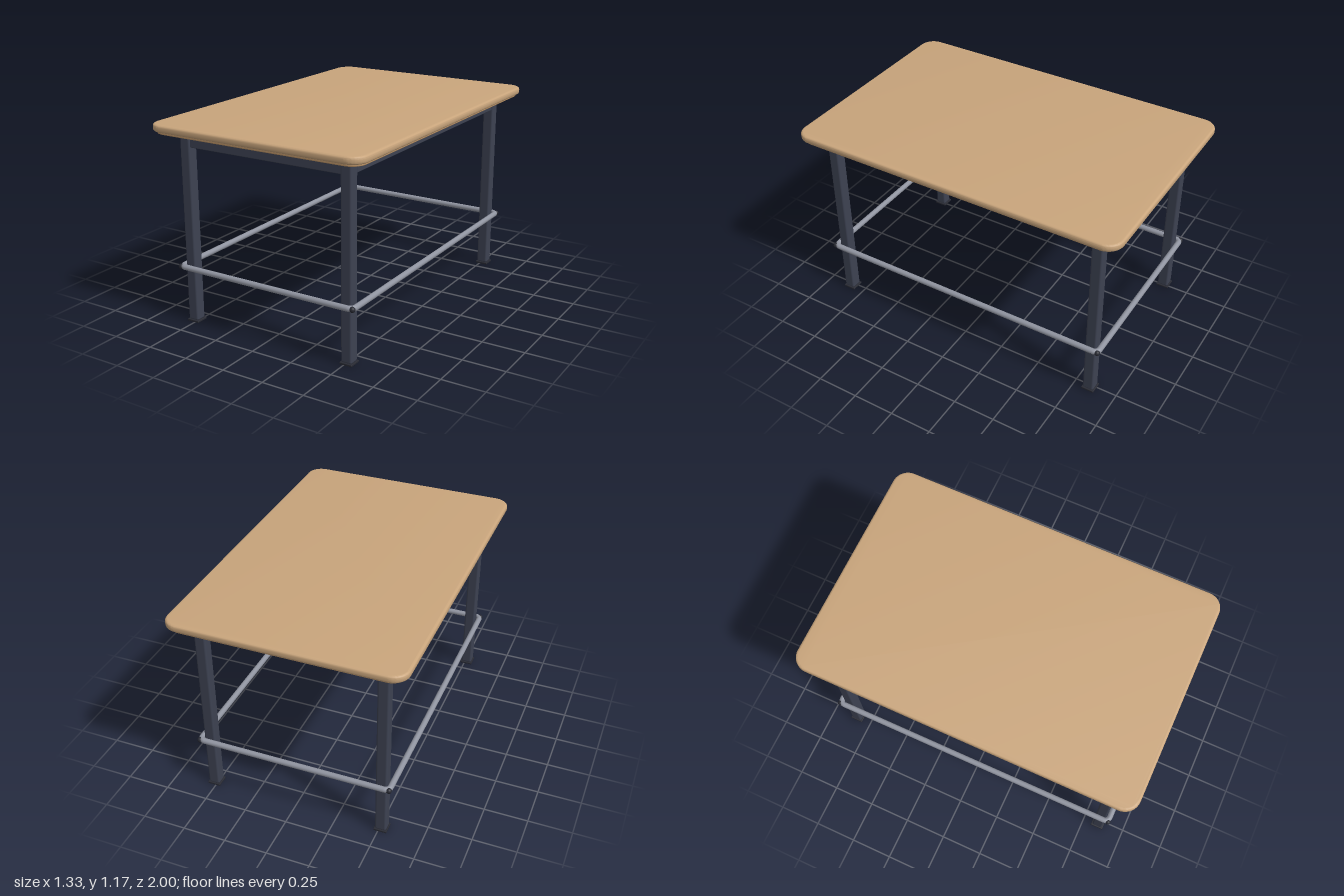
import * as THREE from 'three';
import { toCreasedNormals } from 'three/addons/utils/BufferGeometryUtils.js';
import { RoundedBoxGeometry } from 'three/addons/geometries/RoundedBoxGeometry.js';

const material = (name, color) => Object.assign(new THREE.MeshStandardMaterial({ color }), { name });

// Horizontal slab with rounded corners and softened edges, from y0 to y1.
function slab(halfX, halfZ, radius, y0, y1, bevel) {
  const x = halfX - bevel, z = halfZ - bevel, r = radius - bevel;
  const s = new THREE.Shape();
  s.absarc(x - r, z - r, r, 0, Math.PI / 2);
  s.absarc(-x + r, z - r, r, Math.PI / 2, Math.PI);
  s.absarc(-x + r, -z + r, r, Math.PI, Math.PI * 1.5);
  s.absarc(x - r, -z + r, r, Math.PI * 1.5, Math.PI * 2);
  const g = new THREE.ExtrudeGeometry(s, {
    depth: y1 - y0 - 2 * bevel, curveSegments: 10,
    bevelEnabled: true, bevelSize: bevel, bevelThickness: bevel, bevelSegments: 4,
  });
  g.rotateX(-Math.PI / 2).translate(0, y0 + bevel, 0);
  return toCreasedNormals(g, 0.5);
}

export function createModel() {
  const wood = material('oak', 0xc9a57c);
  const woodEdge = material('darkOak', 0xbc9468);
  const frame = material('slateFrame', 0x3d4252);
  const steel = material('greySteel', 0x9094a0);
  const dark = material('darkFittings', 0x282a33);

  const table = new THREE.Group();
  table.name = 'table';
  const add = (name, geometry, mat, x = 0, y = 0, z = 0) => {
    const mesh = new THREE.Mesh(geometry, mat);
    mesh.name = name;
    mesh.position.set(x, y, z);
    table.add(mesh);
    return mesh;
  };

  // Tabletop and the thinner board below it
  add('tabletop', slab(0.665, 1, 0.09, 1.125, 1.167, 0.014), wood);
  add('underBoard', slab(0.646, 0.98, 0.08, 1.112, 1.126, 0.003), woodEdge);

  const legX = 0.512, legZ = 0.842;
  const railX = 0.563, railZ = 0.893, railY = 0.335, railR = 0.0165, bend = 0.03;
  const legGeo = new RoundedBoxGeometry(0.065, 1.1, 0.065, 3, 0.011);
  const footGeo = new RoundedBoxGeometry(0.076, 0.012, 0.076, 2, 0.003);
  const bendGeo = new THREE.TorusGeometry(bend, railR, 14, 10, Math.PI / 2).rotateX(Math.PI / 2);
  const boltGeo = new THREE.SphereGeometry(0.016, 18, 12);

  // Legs, feet and foot-rail corners
  for (const sx of [-1, 1]) {
    for (const sz of [-1, 1]) {
      add('leg', legGeo, frame, sx * legX, 0.56, sz * legZ);
      add('foot', footGeo, dark, sx * legX, 0.006, sz * legZ);
      const corner = add('railBend', bendGeo, steel, sx * (railX - bend), railY, sz * (railZ - bend));
      corner.rotation.y = sx > 0 ? (sz > 0 ? 0 : Math.PI / 2) : (sz > 0 ? -Math.PI / 2 : Math.PI);
      add('railBolt', boltGeo, dark, sx * railX, railY, sz * railZ);
    }
  }

  // Aprons between the legs and straight foot rails around them
  const apronX = new RoundedBoxGeometry(2 * legX, 0.083, 0.045, 2, 0.005);
  const apronZ = new RoundedBoxGeometry(0.045, 0.083, 2 * legZ, 2, 0.005);
  const rail = (length) => new THREE.CylinderGeometry(railR, railR, length, 14, 1, true);
  const crossRail = rail(2 * (railX - bend)).rotateZ(Math.PI / 2);
  const sideRail = rail(2 * (railZ - bend)).rotateX(Math.PI / 2);
  for (const s of [-1, 1]) {
    add('endApron', apronX, frame, 0, 1.07, s * legZ);
    add('sideApron', apronZ, frame, s * legX, 1.07, 0);
    add('endRail', crossRail, steel, 0, railY, s * railZ);
    add('sideRail', sideRail, steel, s * railX, railY, 0);
  }
  return table;
}
